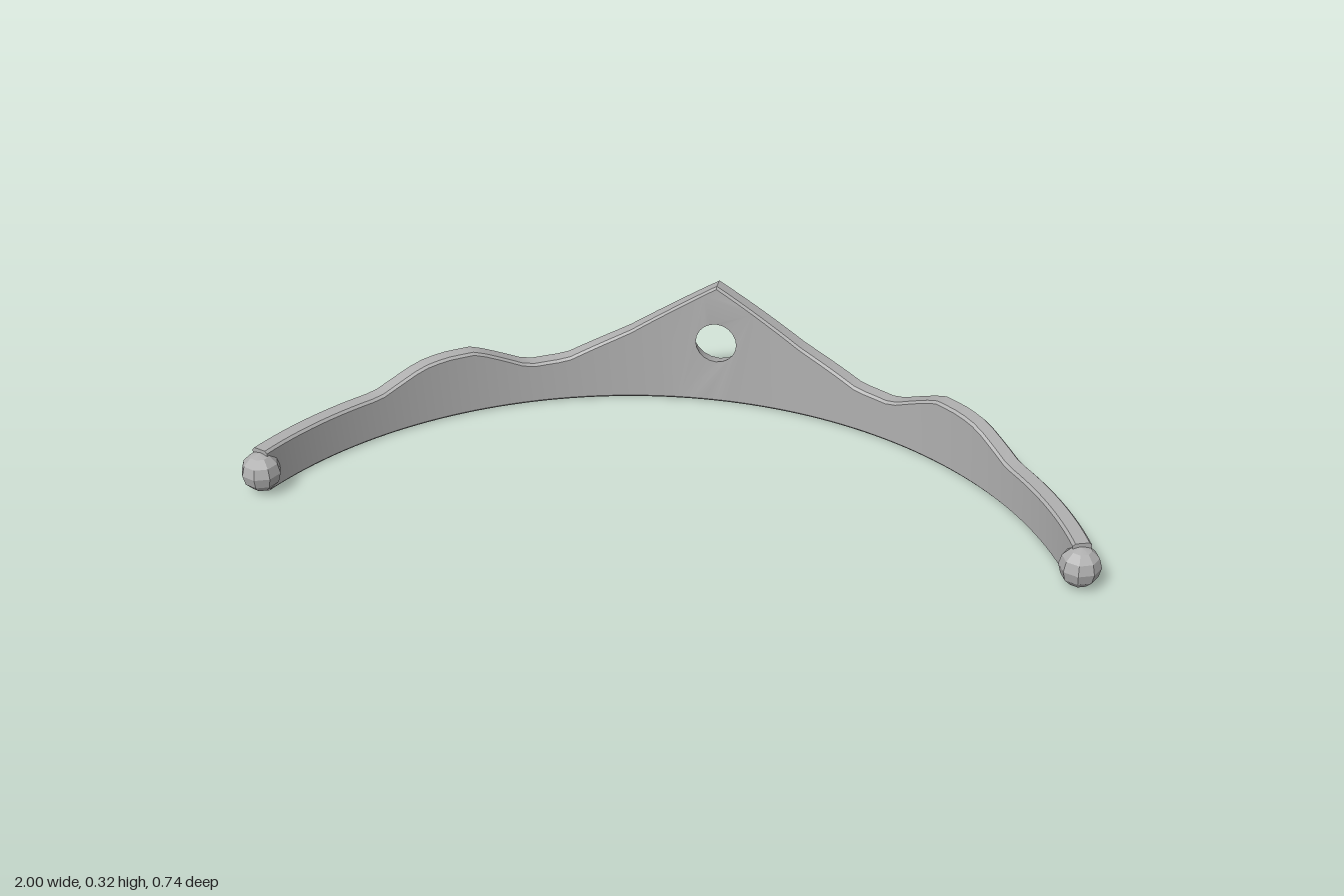
import * as THREE from 'three';
import { toCreasedNormals } from 'three/addons/utils/BufferGeometryUtils.js';

// The band follows a circle arc of radius R centred at z = CZ
const R = 1.018, CZ = 0.673, HALF = 0.022;
const RO = R + HALF, RI = R - HALF;
const STEP = 0.0303, N = 40;          // arc columns from -N to N
const Y0 = 0.003, C = 0.006;          // bottom height, edge chamfer
const HOLE = { col: 0, span: 3, y: 0.168 };
const SOCKET = { col: 21, span: 2, y: 0.121 };

// Top edge heights by x
const PROFILE = [[0, 0.322], [0.12, 0.248], [0.22, 0.187], [0.37, 0.117], [0.46, 0.11],
  [0.575, 0.168], [0.64, 0.168], [0.686, 0.159], [0.77, 0.113], [1.1, 0.11]];

function topAt(i) {
  const x = Math.abs(R * Math.sin(i * STEP));
  const k = PROFILE.findIndex((p) => p[0] > x);
  const [x0, y0] = PROFILE[k - 1], [x1, y1] = PROFILE[k];
  return y0 + (y1 - y0) * (x - x0) / (x1 - x0);
}

// Arc length u, height y, radius r to a point in space
const place = (u, y, r) => [r * Math.sin(u / R), y, CZ - r * Math.cos(u / R)];
const arc = (i) => i * STEP * R;

function builder() {
  const pos = [];
  const tri = (a, b, c) => pos.push(...a, ...b, ...c);
  const quad = (a, b, c, d) => { tri(a, b, c); tri(a, c, d); };
  const build = (crease) => {
    const g = new THREE.BufferGeometry();
    g.setAttribute('position', new THREE.Float32BufferAttribute(pos, 3));
    return toCreasedNormals(g, crease);
  };
  return { tri, quad, build };
}

// Chamfered cross-section of the band at column i
function section(i) {
  const t = topAt(i);
  return [[RO, Y0 + C], [RO, t - C], [RO - C, t], [RI + C, t],
    [RI, t - C], [RI, Y0 + C], [RI + C, Y0], [RO - C, Y0]]
    .map(([r, y]) => place(arc(i), y, r));
}

function circle(col, y, radius, sides) {
  return Array.from({ length: sides }, (_, j) => {
    const a = j / sides * Math.PI * 2;
    return new THREE.Vector2(arc(col) + radius * Math.cos(a), y + radius * Math.sin(a));
  });
}

// Face of the band around a round opening
function piercedFace(b, { col, span, y }, radius, sides, r) {
  const contour = [];
  for (let i = col - span; i <= col + span; i++) contour.push(new THREE.Vector2(arc(i), Y0 + C));
  for (let i = col + span; i >= col - span; i--) contour.push(new THREE.Vector2(arc(i), topAt(i) - C));
  const hole = circle(col, y, radius, sides).reverse();
  const pts = [...contour, ...hole].map((p) => place(p.x, p.y, r));
  for (const [i, j, k] of THREE.ShapeUtils.triangulateShape(contour, [hole])) {
    if (r > R) b.tri(pts[i], pts[k], pts[j]);
    else b.tri(pts[i], pts[j], pts[k]);
  }
}

// Inside walls of an opening; rings are [radius, depth radius] from outside inwards
function recess({ col, y }, rings, sides) {
  const b = builder();
  const loops = rings.map(([rad, r]) => circle(col, y, rad, sides).map((p) => place(p.x, p.y, r)));
  for (let k = 0; k < loops.length - 1; k++) {
    for (let j = 0; j < sides; j++) {
      const n = (j + 1) % sides;
      b.quad(loops[k + 1][j], loops[k + 1][n], loops[k][n], loops[k][j]);
    }
  }
  return b.build(0.6);
}

function bandGeometry() {
  const b = builder();
  const sockets = [SOCKET, { ...SOCKET, col: -SOCKET.col }];
  const within = (i, o) => i >= o.col - o.span && i < o.col + o.span;
  for (let i = -N; i < N; i++) {
    const p = section(i), q = section(i + 1);
    for (let k = 0; k < 8; k++) {
      const n = (k + 1) % 8;
      if (k === 0 && [HOLE, ...sockets].some((o) => within(i, o))) continue;
      if (k === 4 && within(i, HOLE)) continue;
      b.quad(p[k], p[n], q[n], q[k]);
    }
  }
  piercedFace(b, HOLE, 0.064, 20, RO);
  piercedFace(b, HOLE, 0.052, 20, RI);
  sockets.forEach((o) => piercedFace(b, o, 0.039, 12, RO));
  // End caps
  const s = section(-N), e = section(N);
  for (let k = 1; k < 7; k++) {
    b.tri(s[0], s[k + 1], s[k]);
    b.tri(e[0], e[k], e[k + 1]);
  }
  return b.build(0.5);
}

export function createModel() {
  const group = new THREE.Group();
  const metal = new THREE.MeshStandardMaterial({ color: 0xb0b0b0 });
  metal.name = 'grey metal';
  const add = (name, geometry) => {
    const mesh = new THREE.Mesh(geometry, metal);
    mesh.name = name;
    group.add(mesh);
    return mesh;
  };

  add('band', bandGeometry());
  add('centreHoleWall', recess(HOLE, [[0.064, RO], [0.052, RI]], 20));

  for (const [side, name] of [[1, 'left'], [-1, 'right']]) {
    // Blind gem socket on the outer face
    add(name + 'Socket', recess({ ...SOCKET, col: side * SOCKET.col },
      [[0.039, RO], [0.03, RO - 0.018], [0, RO - 0.033]], 12));
    // Faceted knob at the tip
    const knob = add(name + 'EndKnob', toCreasedNormals(new THREE.SphereGeometry(0.048, 8, 6), 0.3));
    knob.position.set(side * 0.952, 0.056, 0.32);
  }
  return group;
}
